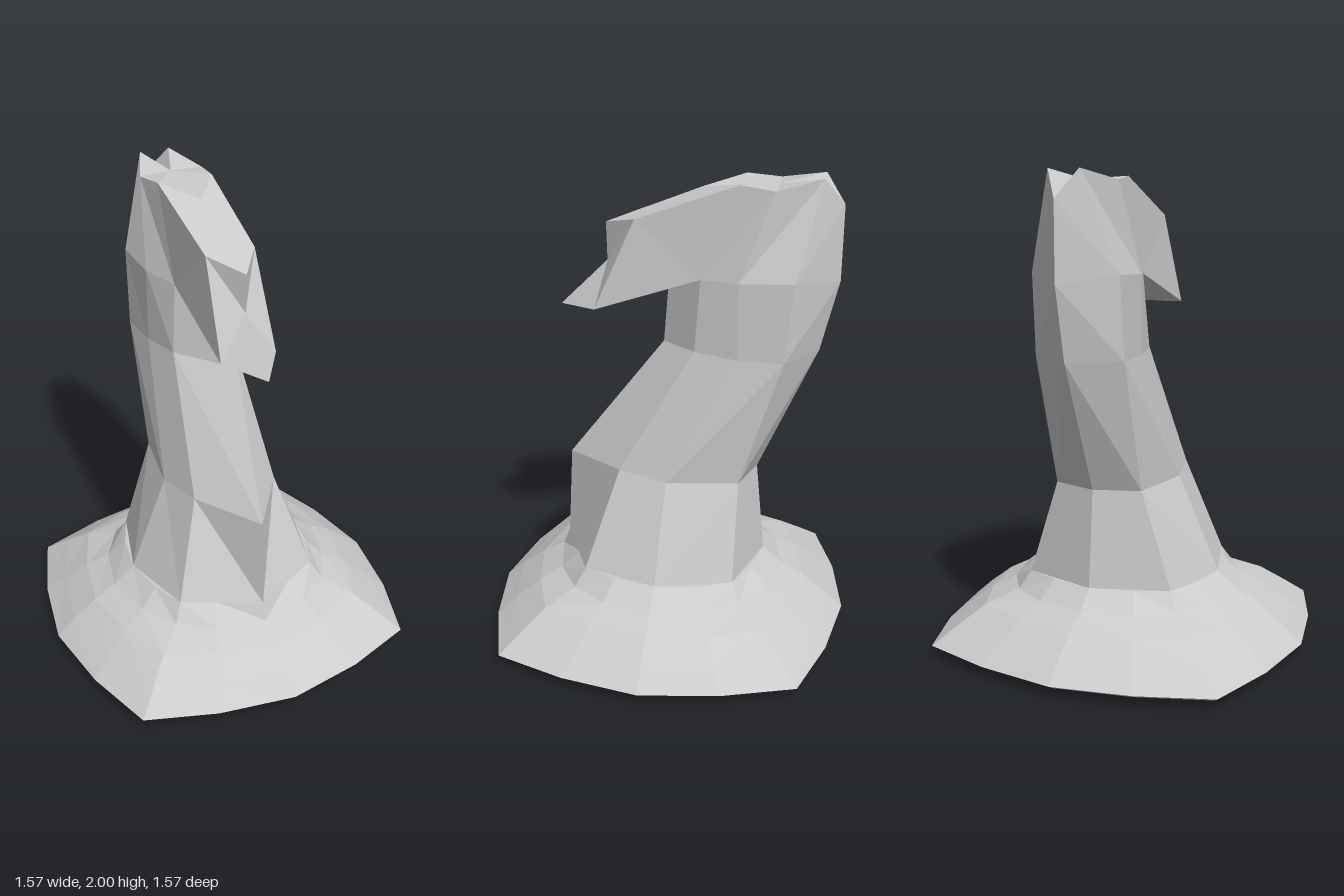
import * as THREE from 'three';

const material = new THREE.MeshStandardMaterial({ color: 0xcccccc, flatShading: true });

// Complete a half outline (first and last points on x = 0) by mirroring it.
function mirrorRing(half) {
  const other = half.slice(1, -1).reverse().map(([x, y, z]) => [-x, y, z]);
  return [...half, ...other];
}

// Skin a row of rings, each counter-clockwise seen from the last ring's end.
function loft(name, rings, capStart, capEnd) {
  const pos = [];
  const tri = (a, b, c) => pos.push(...a, ...b, ...c);
  const n = rings[0].length;
  for (let i = 0; i < rings.length - 1; i++) {
    for (let j = 0; j < n; j++) {
      const k = (j + 1) % n;
      const [a, b, c, d] = [rings[i][j], rings[i][k], rings[i + 1][k], rings[i + 1][j]];
      // mirrored diagonals on the two halves
      if (j < n / 2) { tri(a, b, c); tri(a, c, d); }
      else { tri(a, b, d); tri(b, c, d); }
    }
  }
  const cap = (ring, flip) => {
    const mid = [0, 1, 2].map(i => ring.reduce((s, p) => s + p[i], 0) / n);
    ring.forEach((p, j) => {
      const q = ring[(j + 1) % n];
      if (flip) tri(mid, q, p); else tri(mid, p, q);
    });
  };
  if (capStart) cap(rings[0], true);
  if (capEnd) cap(rings[rings.length - 1], false);
  const geo = new THREE.BufferGeometry();
  geo.setAttribute('position', new THREE.Float32BufferAttribute(pos, 3));
  geo.computeVertexNormals();
  const mesh = new THREE.Mesh(geo, material);
  mesh.name = name;
  return mesh;
}

// Sixteen-point ring, from rounded square to circle: axis r, middle (u, v), corner d.
function skirtRing(y, r, u, v, d, front = r, back = r) {
  return mirrorRing([
    [0, y, front], [u, y, v], [d, y, d], [v, y, u], [r, y, 0],
    [v, y, -u], [d, y, -d], [u, y, -v], [0, y, -back],
  ]);
}

export function createModel() {
  const group = new THREE.Group();
  group.name = 'hookedPiece';

  // Flared foot with a shallow rounded underside
  group.add(loft('foot', [
    skirtRing(0, 0.30, 0.13, 0.28, 0.24),
    skirtRing(0.03, 0.75, 0.31, 0.70, 0.605),
    skirtRing(0.05, 0.785, 0.33, 0.73, 0.63),
    skirtRing(0.12, 0.705, 0.29, 0.65, 0.555),
    skirtRing(0.20, 0.60, 0.25, 0.55, 0.465),
    skirtRing(0.25, 0.505, 0.21, 0.455, 0.36),
    skirtRing(0.325, 0.41, 0.18, 0.38, 0.32, 0.475, 0.42),
  ], true, true));

  // Leaning neck: eight-sided rings, each given as front-to-back half outline
  const neck = [
    [[0, 0.325, 0.475], [0.32, 0.325, 0.32], [0.41, 0.325, 0], [0.32, 0.325, -0.32], [0, 0.325, -0.42]],
    [[0, 0.73, 0.45], [0.19, 0.75, 0.19], [0.24, 0.73, -0.02], [0.19, 0.73, -0.32], [0, 0.73, -0.38]],
    [[0, 1.28, 0.03], [0.14, 1.29, -0.12], [0.18, 1.28, -0.30], [0.19, 1.28, -0.49], [0, 1.28, -0.62]],
    [[0, 1.54, 0.01], [0.12, 1.59, -0.14], [0.18, 1.60, -0.30], [0.185, 1.61, -0.52], [0, 1.58, -0.69]],
    [[0, 1.94, -0.13], [0.12, 1.975, -0.29], [0.14, 1.96, -0.43], [0.065, 2.0, -0.61], [0, 1.89, -0.69]],
  ];
  group.add(loft('neck', neck.map(mirrorRing), false, true));

  // Hook drooping forward from the top front faces of the neck
  const [lower, upper] = [neck[3], neck[4]];
  group.add(loft('hook', [
    mirrorRing([lower[0], lower[1], upper[1], upper[0]]),
    mirrorRing([[0, 1.42, 0.47], [0.12, 1.44, 0.30], [0.105, 1.82, 0.13], [0, 1.78, 0.27]]),
  ], false, true));

  return group;
}
